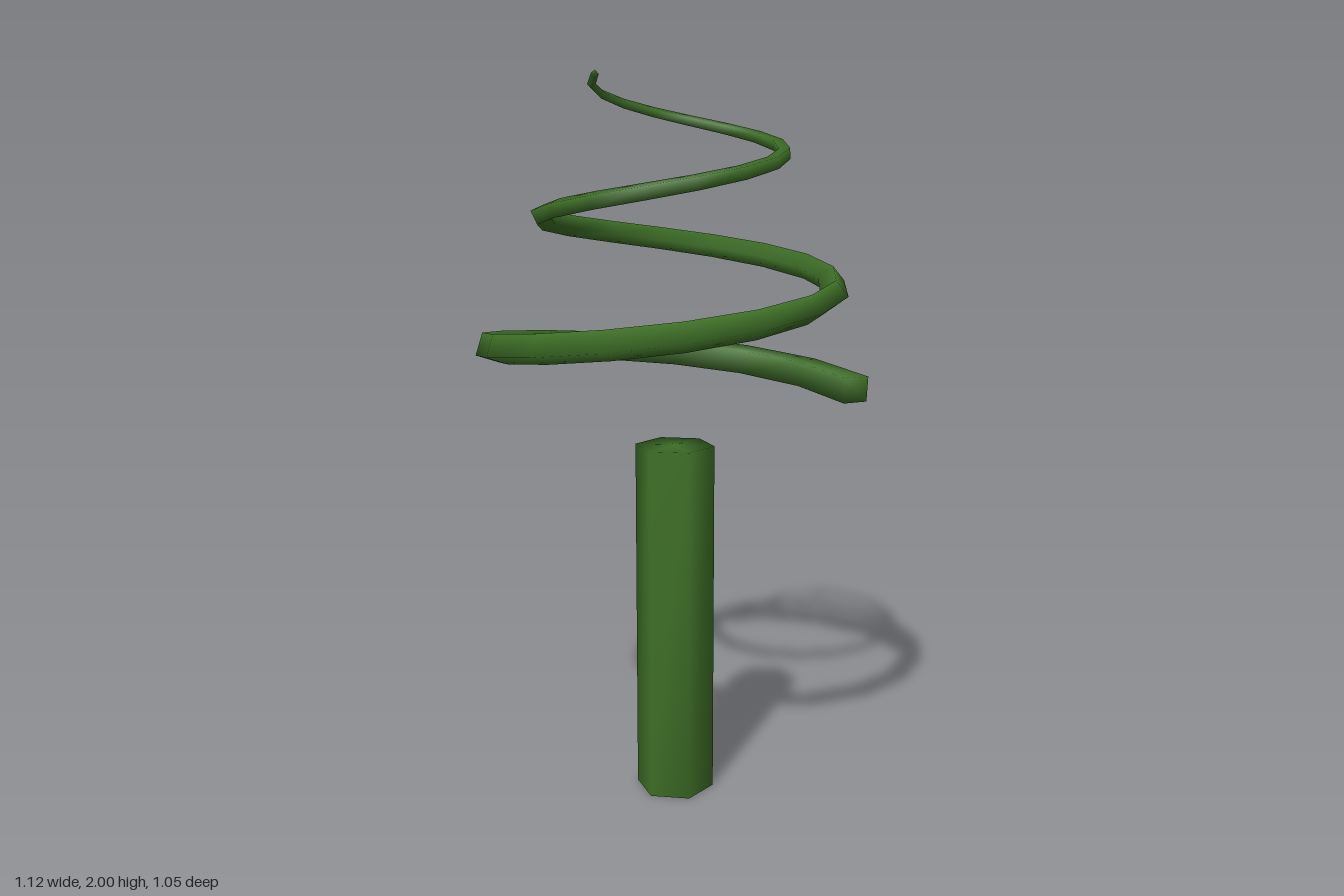
import * as THREE from 'three';
import { mergeVertices } from 'three/addons/utils/BufferGeometryUtils.js';

const CX = -0.035, CZ = 0.036; // shared axis of stem and spiral
const STEPS = 39, STEP_ANGLE = 0.4;

// Conical spiral that rises and narrows evenly
class SpiralCurve extends THREE.Curve {
  getPoint(u, target = new THREE.Vector3()) {
    const t = u * STEPS * STEP_ANGLE;
    const r = 0.56 - 0.0224 * t;
    return target.set(CX + r * Math.cos(t), 1.122 + 0.0556 * t, CZ - r * Math.sin(t));
  }
  // even steps of angle rather than of length
  getPointAt(u, target) { return this.getPoint(u, target); }
  getTangentAt(u, target) { return this.getTangent(u, target); }
}

// Square section swept along a curve, tapering from r0 to r1, capped at both ends
function taperedSquareTube(curve, steps, r0, r1) {
  const { normals, binormals } = curve.computeFrenetFrames(steps, false);
  const positions = [], index = [];
  for (let i = 0; i <= steps; i++) {
    const u = i / steps;
    const r = THREE.MathUtils.lerp(r0, r1, u);
    const centre = curve.getPointAt(u);
    for (let k = 0; k < 4; k++) {
      const a = Math.PI / 4 + (k * Math.PI) / 2;
      const p = centre.clone()
        .addScaledVector(normals[i], r * Math.cos(a))
        .addScaledVector(binormals[i], r * Math.sin(a));
      positions.push(p.x, p.y, p.z);
      if (i < steps) {
        const n = (k + 1) % 4, b = i * 4;
        index.push(b + k, b + n, b + 4 + k, b + n, b + 4 + n, b + 4 + k);
      }
    }
  }
  const e = steps * 4;
  index.push(0, 2, 1, 0, 3, 2, e, e + 1, e + 2, e, e + 2, e + 3);
  const geometry = new THREE.BufferGeometry();
  geometry.setAttribute('position', new THREE.Float32BufferAttribute(positions, 3));
  geometry.setIndex(index);
  geometry.computeVertexNormals();
  return geometry;
}

// Share normals across all edges for soft shading
function smooth(geometry) {
  geometry.deleteAttribute('normal');
  geometry.deleteAttribute('uv');
  const merged = mergeVertices(geometry, 1e-4);
  merged.computeVertexNormals();
  return merged;
}

export function createModel() {
  const model = new THREE.Group();
  model.name = 'spiralPlant';
  const green = new THREE.MeshStandardMaterial({ color: 0x3f7028 });

  // Hexagonal stem
  const stem = new THREE.Mesh(smooth(new THREE.CylinderGeometry(0.11, 0.11, 1.005, 6)), green);
  stem.name = 'stem';
  stem.position.set(CX, 0.5025, CZ);
  model.add(stem);

  // Tapering spiral tendril floating above the stem
  const tendril = new THREE.Mesh(taperedSquareTube(new SpiralCurve(), STEPS, 0.053, 0.0105), green);
  tendril.name = 'spiralTendril';
  model.add(tendril);

  return model;
}
